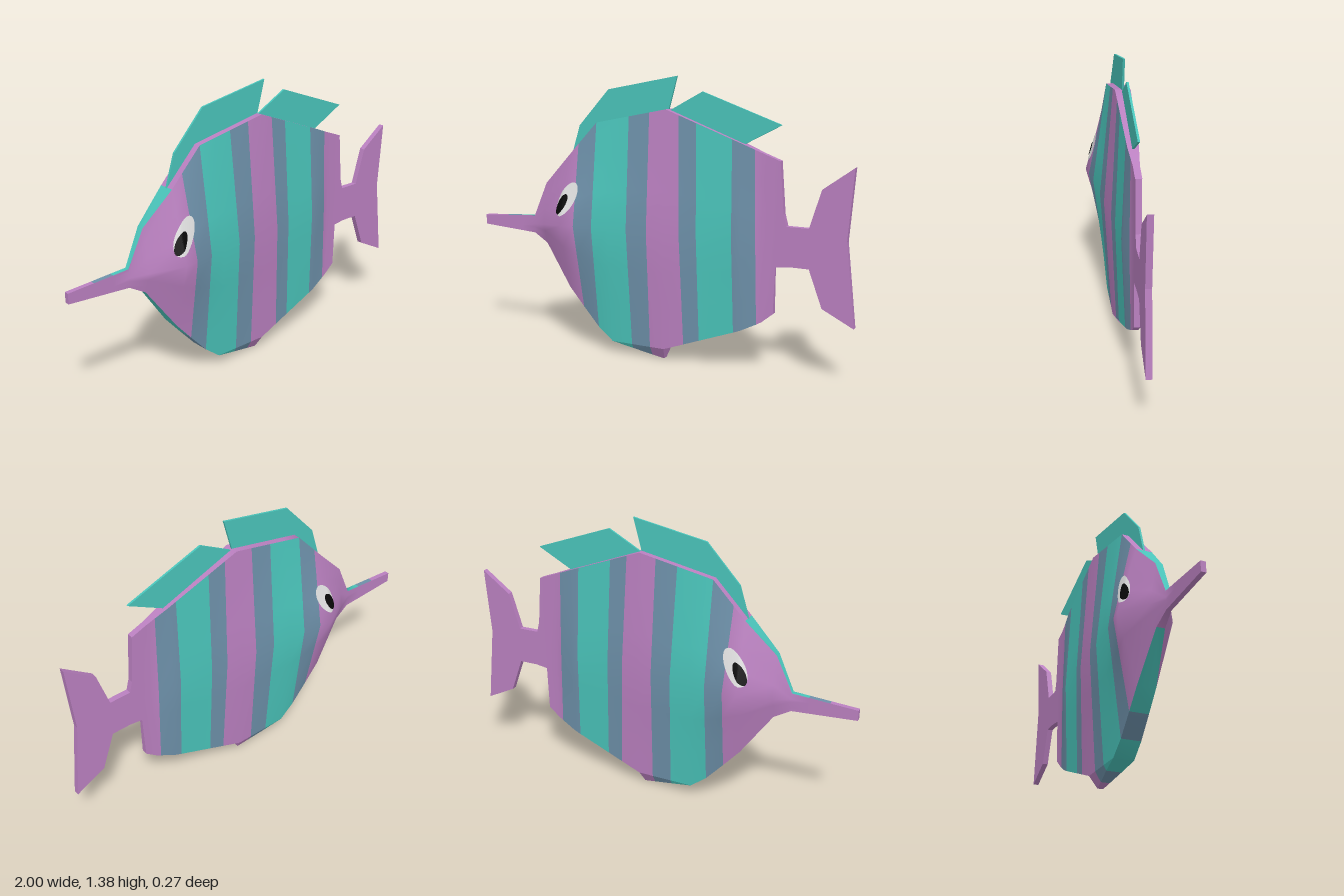
import * as THREE from 'three';

const mat = (name, color) => Object.assign(new THREE.MeshStandardMaterial({ color }), { name });

// Piecewise linear lookup in a list of [x, value]
function at(table, x) {
  if (x <= table[0][0]) return table[0][1];
  for (let i = 1; i < table.length; i++) {
    const [x0, v0] = table[i - 1], [x1, v1] = table[i];
    if (x <= x1) return v0 + (v1 - v0) * (x - x0) / (x1 - x0);
  }
  return table[table.length - 1][1];
}

// Body outline and thickness along x
const TOP = [[-1, 0.635], [-0.69, 0.655], [-0.61, 0.83], [-0.46, 0.98], [-0.3, 1.15], [0.075, 1.225], [0.46, 1.08], [0.56, 1.04], [0.64, 1.01]];
const BOTTOM = [[-1, 0.585], [-0.69, 0.565], [-0.61, 0.52], [-0.46, 0.31], [-0.3, 0.13], [-0.21, 0.06], [0.075, 0.06], [0.46, 0.2], [0.56, 0.25], [0.62, 0.3]];
const MIDDLE = [[-1, 0.61], [-0.69, 0.61], [-0.46, 0.64]];
const WIDTH = [[-1, 0.012], [-0.69, 0.012], [-0.61, 0.05], [-0.46, 0.135], [-0.3, 0.11], [0.075, 0.075], [0.25, 0.055], [0.46, 0.045], [0.56, 0.015]];
const TOP_RIM = [[-1, 0.012], [-0.69, 0.012], [-0.61, 0.018], [-0.46, 0.04], [0.075, 0.036], [0.46, 0.025], [0.56, 0.015]];
const BOTTOM_RIM = [[-1, 0.012], [-0.69, 0.012], [-0.61, 0.02], [-0.46, 0.045], [-0.21, 0.05], [0.075, 0.05], [0.46, 0.028], [0.56, 0.015]];

// Half thickness of the body at a point of its side
function sideZ(x, y) {
  const m = at(MIDDLE, x), w = at(WIDTH, x);
  return y > m
    ? THREE.MathUtils.lerp(w, at(TOP_RIM, x), (y - m) / (at(TOP, x) - m))
    : THREE.MathUtils.lerp(w, at(BOTTOM_RIM, x), (m - y) / (m - at(BOTTOM, x)));
}

// Skin over open cross-sections, with one material index per span
function loft(name, sections, colours, materials, flat = false) {
  const n = sections[0].length, index = [];
  let geo = new THREE.BufferGeometry();
  geo.setAttribute('position', new THREE.Float32BufferAttribute(sections.flat(2), 3));
  for (let i = 0; i < sections.length - 1; i++) {
    geo.addGroup(index.length, (n - 1) * 6, colours[i]);
    for (let j = 0; j < n - 1; j++) {
      const a = i * n + j, b = a + n;
      index.push(a, a + 1, b, b, a + 1, b + 1);
    }
  }
  geo.setIndex(index);
  if (flat) geo = geo.toNonIndexed();
  geo.computeVertexNormals();
  const mesh = new THREE.Mesh(geo, materials);
  mesh.name = name;
  return mesh;
}

// Flat plate cut from an outline, centred on z = 0
function plate(name, points, depth, material) {
  const shape = new THREE.Shape(points.map(([x, y]) => new THREE.Vector2(x, y)));
  const geo = new THREE.ExtrudeGeometry(shape, { depth, bevelEnabled: false });
  geo.translate(0, 0, -depth / 2);
  const mesh = new THREE.Mesh(geo, material);
  mesh.name = name;
  return mesh;
}

// Tilted oval laid over the side of the head
function eyeOval(name, cx, cy, long, short, lift, material, side) {
  const geo = new THREE.RingGeometry(0.001, 1, 28, 5);
  geo.scale(long, short, 1).rotateZ(Math.PI / 3).translate(cx, cy, 0);
  const p = geo.attributes.position;
  for (let i = 0; i < p.count; i++) p.setZ(i, sideZ(p.getX(i), p.getY(i)) + lift);
  geo.computeVertexNormals();
  const mesh = new THREE.Mesh(geo, material);
  mesh.scale.z = side;
  mesh.name = name;
  return mesh;
}

export function createModel() {
  const purple = mat('purple', 0xba80c0), teal = mat('teal', 0x4ac4ba), slate = mat('slate blue', 0x6d90a9);
  const white = mat('eye white', 0xe2e2e2), black = mat('pupil black', 0x080808);
  const skins = [purple, slate, teal];
  const P = 0, S = 1, T = 2;
  const fish = new THREE.Group();
  fish.name = 'fish';

  // Stations: x, slant, then the colour of side, top rim and bottom rim behind it
  const stations = [
    [-1, 0, P, P, P], [-0.87, 0, P, S, P], [-0.77, 0, P, T, P], [-0.69, 0, P, T, P],
    [-0.61, 0, P, T, T], [-0.46, 0, P, P, T], [-0.39, 0.012, S, P, S], [-0.295, 0.004, T, P, T],
    [-0.21, 0, T, P, T], [-0.11, 0.01, S, P, S], [-0.005, 0.005, P, P, P], [0.075, 0, P, P, P],
    [0.16, 0.018, S, P, P], [0.245, 0.013, T, P, P], [0.42, 0.01, S, P, P], [0.46, 0.005, S, P, P],
    [0.53, 0.01, P, P, P], [0.565, 0, P, P, P], [0.63, -0.01, P, P, P],
  ];
  const rows = 3, left = [], right = [], topRim = [], bottomRim = [];
  for (const [x, slant] of stations) {
    const xt = x - slant, xb = x + slant;
    const t = at(TOP, xt), m = at(MIDDLE, x), b = at(BOTTOM, xb);
    const section = [];
    for (let j = 0; j <= rows * 2; j++) {
      const k = j / rows;
      const y = k < 1 ? t + (m - t) * k : m + (b - m) * (k - 1);
      const px = xt + (xb - xt) * k / 2;
      const rim = k < 1 ? at(TOP_RIM, xt) : at(BOTTOM_RIM, xb);
      section.push([px, y, THREE.MathUtils.lerp(at(WIDTH, x), rim, Math.abs(1 - k))]);
    }
    const mirrored = section.map(([px, y, z]) => [px, y, -z]).reverse();
    left.push(section);
    right.push(mirrored);
    topRim.push([mirrored[rows * 2], section[0]]);
    bottomRim.push([section[rows * 2], mirrored[0]]);
  }
  const colours = (column) => stations.map((s) => s[column]);
  fish.add(
    loft('bodyLeftSide', left, colours(2), skins),
    loft('bodyRightSide', right, colours(2), skins),
    loft('backRidge', topRim, colours(3), skins),
    loft('bellyRidge', bottomRim, colours(4), skins),
  );

  // Belly keel, tapering downwards
  const keel = [[-0.21, 0.06, 0.05], [-0.1, 0.036, 0.037], [0, 0.013, 0.022], [0.06, 0, 0.014], [0.075, 0.06, 0.05]]
    .map(([x, y, z]) => [[x, 0.06, 0.05], [x, y, z], [x, y, -z], [x, 0.06, -0.05]]);
  fish.add(loft('bellyKeel', keel, [T, S, P, P], skins, true));

  // Snout tip
  const tip = new THREE.Mesh(new THREE.BoxGeometry(0.01, 0.05, 0.024), purple);
  tip.position.set(-0.995, 0.61, 0);
  tip.name = 'snoutTip';
  fish.add(tip);

  // Tail with its stalk, rooted inside the body
  fish.add(plate('tail', [
    [0.57, 0.28], [0.62, 0.3], [0.62, 0.52], [0.69, 0.53], [0.785, 0.53], [0.85, 0.355], [1, 0.28],
    [0.955, 0.67], [0.98, 1], [0.835, 0.895], [0.78, 0.715], [0.675, 0.715], [0.66, 0.77], [0.64, 1.01], [0.57, 1.03],
  ], 0.028, purple));

  // Dorsal fins
  fish.add(
    plate('frontDorsalFin', [[-0.465, 0.97], [-0.3, 1.14], [0.075, 1.215], [0.12, 1.38], [-0.25, 1.31], [-0.415, 1.13]], 0.01, teal),
    plate('rearDorsalFin', [[0.075, 1.215], [0.46, 1.075], [0.64, 1.17], [0.25, 1.31]], 0.01, teal),
  );

  // Eyes on both sides
  for (const side of [1, -1]) {
    fish.add(
      eyeOval('eye', -0.44, 0.77, 0.095, 0.045, 0.004, white, side),
      eyeOval('pupil', -0.466, 0.744, 0.058, 0.024, 0.007, black, side),
    );
  }
  return fish;
}
